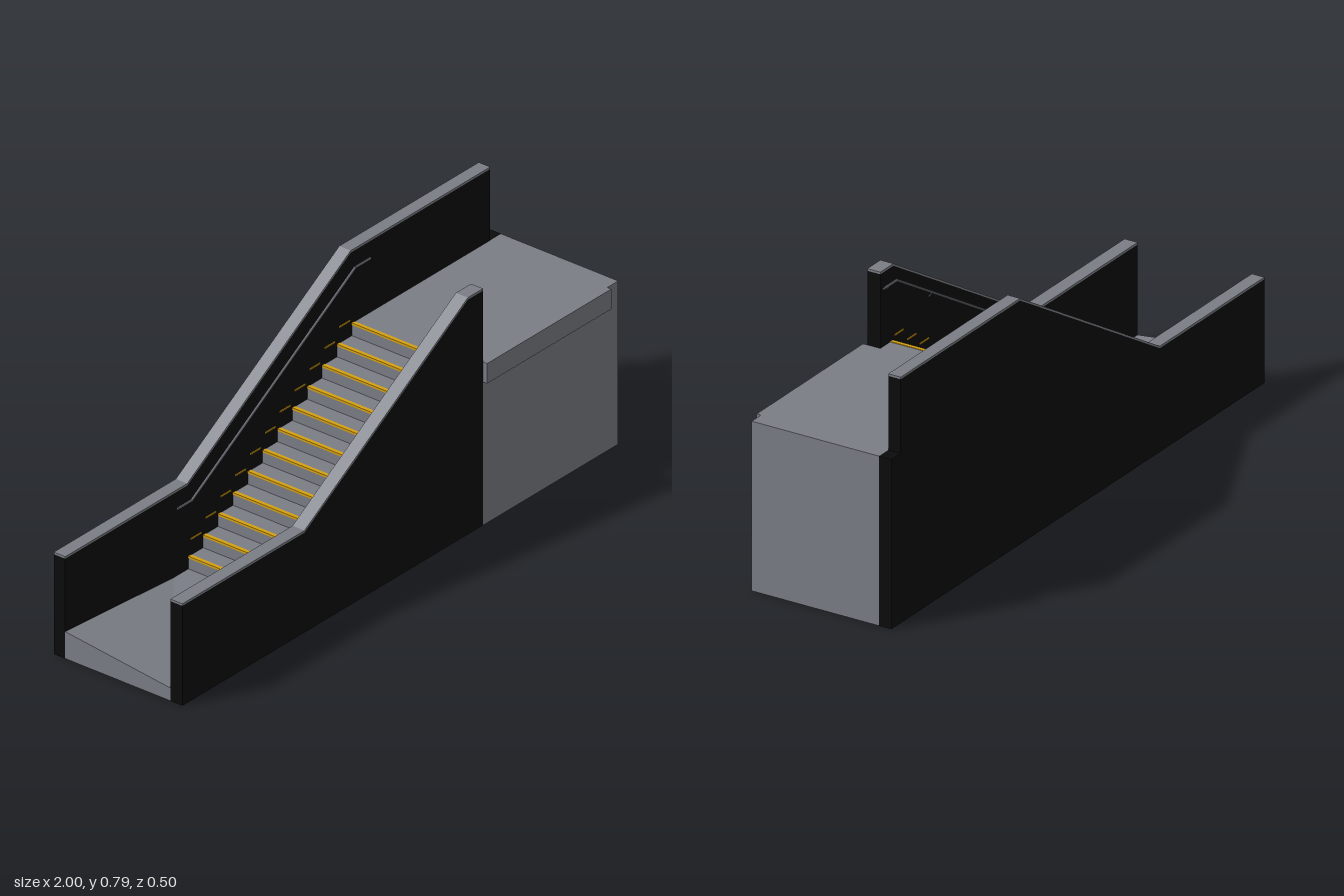
import * as THREE from 'three';

const mat = (name, color) => {
  const m = new THREE.MeshStandardMaterial({ color });
  m.name = name;
  return m;
};

export function createModel() {
  const black = mat('black wall', 0x0b0b0b);
  const grey = mat('concrete grey', 0x7a7d85);
  const rail = mat('rail grey', 0x55585e);
  const yellow = mat('safety yellow', 0xd6a010);
  const model = new THREE.Group();

  const add = (name, geo, material, parent = model) => {
    const m = new THREE.Mesh(geo, material);
    m.name = name;
    parent.add(m);
    return m;
  };
  // box given by its minimum and maximum corners
  const box = (name, [x0, y0, z0], [x1, y1, z1], material, parent) =>
    add(name, new THREE.BoxGeometry(x1 - x0, y1 - y0, z1 - z0), material, parent)
      .position.set((x0 + x1) / 2, (y0 + y1) / 2, (z0 + z1) / 2);
  // side outline in x, y extruded between two z values
  const prism = (name, points, z0, z1, material) => {
    const shape = new THREE.Shape(points.map(p => new THREE.Vector2(...p)));
    const geo = new THREE.ExtrudeGeometry(shape, { depth: z1 - z0, bevelEnabled: false });
    return add(name, geo.translate(0, 0, z0), material);
  };

  const IN_BACK = -0.205, IN_FRONT = 0.19, BACK = -0.248, FRONT = 0.235;
  const TOP = 0.545, STEPS = 12, X0 = -0.435, RUN = 0.0682, RISE = 0.041;
  const stepX = i => X0 + i * RUN;
  const stepY = i => TOP - (STEPS - 1 - i) * RISE;
  const CAP = 0.007;
  const FLOOR = stepY(0) - RISE;

  // side walls and their caps
  const wall = (name, z0, z1, xEnd, tail) => {
    const line = [[-1, 0.34], [-0.44, 0.34], [0.31, 0.79], [xEnd, 0.79]];
    const low = line.map(([x, y]) => [x, y - CAP]);
    prism(name, [[-1, 0], ...tail, ...[...low].reverse()], z0, z1, black);
    prism(name + 'Cap', [...low, ...[...line].reverse()], z0, z1, grey);
  };
  wall('frontWall', IN_FRONT, FRONT, 0.38, [[0.38, 0]]);
  wall('backWall', BACK, IN_BACK, 0.95, [[1, 0], [1, TOP], [0.95, TOP]]);

  // stair body
  const profile = [[-0.5, 0], [0.38, 0], [0.38, TOP]];
  for (let i = STEPS - 1; i >= 0; i--) {
    profile.push([stepX(i), stepY(i)], [stepX(i), stepY(i) - RISE]);
  }
  profile.push([-0.5, FLOOR]);
  prism('stairs', profile, IN_BACK, IN_FRONT, grey);

  // lower landing, whose outer edge tilts across its width
  const landing = new THREE.BoxGeometry(0.5, 1, IN_FRONT - IN_BACK);
  landing.translate(-0.75, 0.5, (IN_FRONT + IN_BACK) / 2);
  const p = landing.attributes.position;
  for (let i = 0; i < p.count; i++) {
    if (p.getY(i) < 0.5) continue;
    const outer = p.getX(i) < -0.75;
    p.setY(i, !outer ? FLOOR : p.getZ(i) < 0 ? 0.09 : 0.043);
  }
  const flat = landing.toNonIndexed();
  flat.computeVertexNormals();
  add('lowerLanding', flat, grey);

  // upper platform with its front lip
  box('upperPlatform', [0.38, 0, IN_BACK], [1, TOP, FRONT], grey);
  box('platformLip', [0.38, 0.478, FRONT], [0.95, TOP, 0.25], grey);

  // yellow nosings, and marker strips on both walls
  for (let i = 0; i < STEPS; i++) {
    const x = stepX(i), y = stepY(i);
    box('stepNosing', [x - 0.001, y - 0.005, IN_BACK], [x + 0.012, y + 0.002, IN_FRONT], yellow);
    if (i === STEPS - 1) continue;
    for (const [z0, z1] of [[IN_BACK, IN_BACK + 0.003], [IN_FRONT - 0.003, IN_FRONT]]) {
      box('wallMarker', [x + 0.01, y + 0.052, z0], [x + 0.058, y + 0.057, z1], yellow);
    }
  }

  // handrails on brackets
  const railY = x => THREE.MathUtils.clamp(0.29 + (x + 0.44) * 0.6, 0.29, 0.74);
  const rod = (name, a, b, r, parent) => {
    const m = add(name, new THREE.CylinderGeometry(r, r, a.distanceTo(b), 8), rail, parent);
    m.position.copy(a).lerp(b, 0.5);
    m.quaternion.setFromUnitVectors(new THREE.Vector3(0, 1, 0), b.clone().sub(a).normalize());
  };
  for (const [name, z, zWall] of [['frontHandrail', 0.178, IN_FRONT], ['backHandrail', -0.188, IN_BACK]]) {
    const g = new THREE.Group();
    g.name = name;
    model.add(g);
    const pts = [-0.505, -0.44, 0.31, 0.38].map(x => new THREE.Vector3(x, railY(x), z));
    for (let i = 0; i < 3; i++) rod('railBar', pts[i], pts[i + 1], 0.0045, g);
    for (const x of [-0.47, -0.25, 0.12, 0.34]) {
      rod('railBracket', new THREE.Vector3(x, railY(x) - 0.018, zWall),
        new THREE.Vector3(x, railY(x), z), 0.0025, g);
    }
  }
  return model;
}
